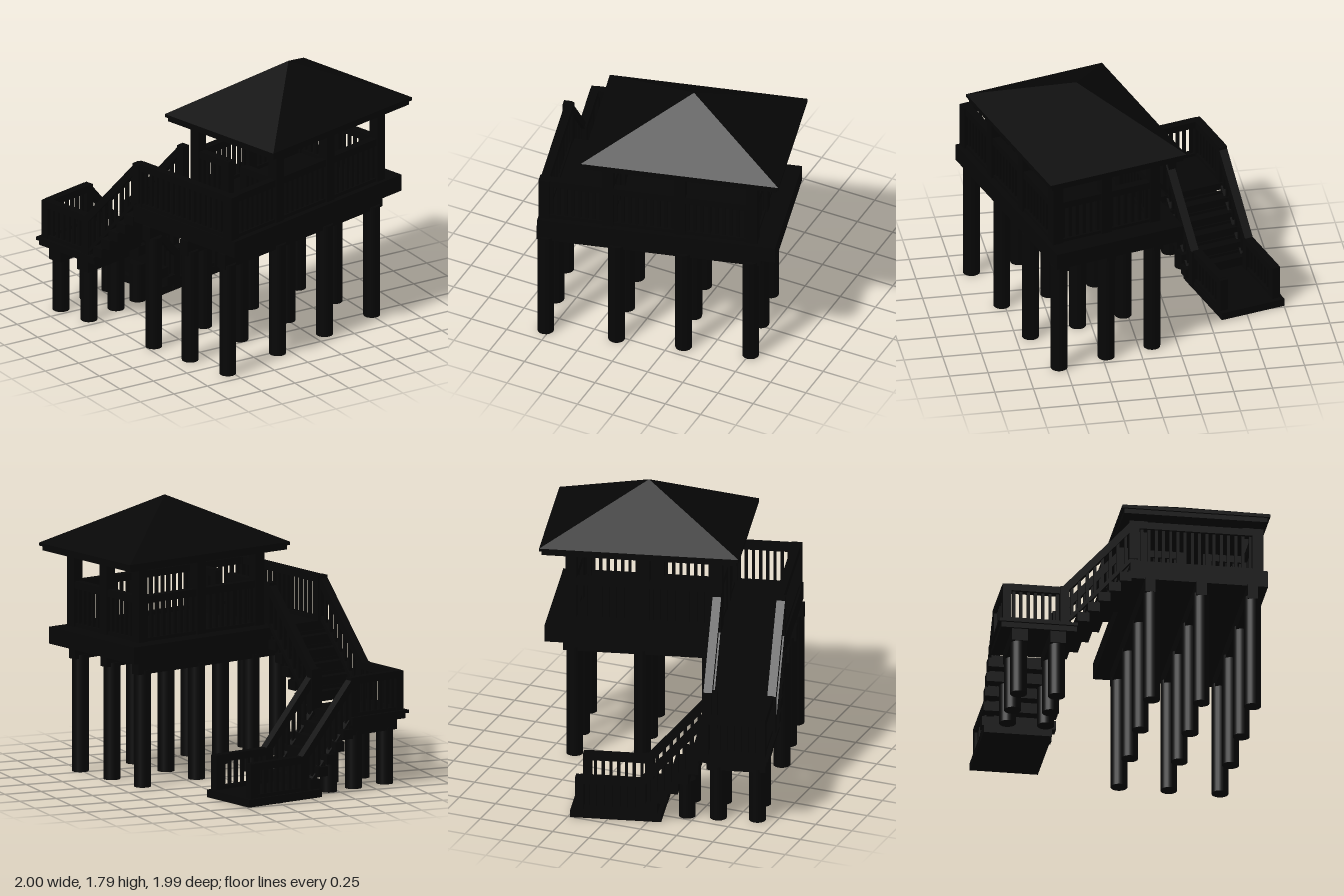
import * as THREE from 'three';

export function createModel() {
  const model = new THREE.Group();
  const tower = new THREE.Group();
  tower.name = 'tower';
  tower.rotation.y = THREE.MathUtils.degToRad(15);
  model.add(tower);
  const mat = new THREE.MeshStandardMaterial({ color: 0x060606 });

  function group(name) {
    const g = new THREE.Group();
    g.name = name;
    tower.add(g);
    return g;
  }
  // box given by its minimum and maximum on each axis
  function box(parent, name, x0, x1, y0, y1, z0, z1) {
    const m = new THREE.Mesh(new THREE.BoxGeometry(x1 - x0, y1 - y0, z1 - z0), mat);
    m.position.set((x0 + x1) / 2, (y0 + y1) / 2, (z0 + z1) / 2);
    m.name = name;
    parent.add(m);
  }
  function post(parent, name, x, z, y0, y1, s) {
    box(parent, name, x - s / 2, x + s / 2, y0, y1, z - s / 2, z + s / 2);
  }
  // straight or sloping timber between two points
  function beam(parent, name, a, b, w, h) {
    const m = new THREE.Mesh(new THREE.BoxGeometry(w, h, a.distanceTo(b)), mat);
    m.position.copy(a).add(b).multiplyScalar(0.5);
    m.lookAt(b);
    m.name = name;
    parent.add(m);
  }
  // railing between two top points, with upright balusters
  function railing(name, ax, ay, az, bx, by, bz, height) {
    const g = group(name);
    const a = new THREE.Vector3(ax, ay, az), b = new THREE.Vector3(bx, by, bz);
    const drop = (p, d) => p.clone().setY(p.y - d);
    beam(g, 'topRail', drop(a, 0.023), drop(b, 0.023), 0.055, 0.046);
    beam(g, 'bottomRail', drop(a, height - 0.01), drop(b, height - 0.01), 0.045, 0.022);
    const n = Math.round(Math.hypot(bx - ax, bz - az) / 0.047);
    for (let i = 1; i < n; i++) {
      const p = a.clone().lerp(b, i / n);
      post(g, 'baluster', p.x, p.z, p.y - height, p.y - 0.03, 0.019);
    }
    for (const p of [a, b]) post(g, 'railPost', p.x, p.z, p.y - height, p.y - 0.002, 0.055);
  }

  // round piles on a grid
  function piles(name, xs, zs, top) {
    const g = group(name);
    const geo = new THREE.CylinderGeometry(0.054, 0.054, top, 20);
    for (const x of xs) for (const z of zs) {
      const m = new THREE.Mesh(geo, mat);
      m.position.set(x, top / 2, z);
      m.name = 'pile';
      g.add(m);
    }
  }
  piles('deckPiles', [-0.74, -0.28, 0.155, 0.59], [0.07, 0.39, 0.72], 0.76);
  piles('landingPiles', [-0.7, -0.45], [-0.78, -0.535], 0.37);
  piles('stairPiles', [-0.25], [-0.78, -0.535], 0.26);

  // main deck on cross beams
  const deck = group('deck');
  box(deck, 'floor', -0.777, 0.766, 0.83, 0.94, -0.07, 0.815);
  for (const z of [0.055, 0.385, 0.715]) box(deck, 'crossBeam', -0.795, 0.66, 0.735, 0.835, z - 0.033, z + 0.033);

  // cabin posts; the porch side has no middle post
  const U0 = -0.326, UM = 0.142, U1 = 0.61, V0 = 0.07, VM = 0.41, V1 = 0.751;
  const cabin = group('cabinPosts');
  for (const [x, z] of [[U0, V0], [UM, V0], [U1, V0], [U1, VM], [U0, V1], [UM, V1], [U1, V1]])
    post(cabin, 'roofPost', x, z, 0.94, 1.45, 0.07);

  // cabin and porch railings
  const T = 1.233, H = 0.293, P = -0.74;
  railing('frontRailing', U0, T, V1, UM, T, V1, H);
  railing('frontRailing', UM, T, V1, U1, T, V1, H);
  railing('backRailing', U0, T, V0, UM, T, V0, H);
  railing('backRailing', UM, T, V0, U1, T, V0, H);
  railing('sideRailing', U1, T, V0, U1, T, VM, H);
  railing('sideRailing', U1, T, VM, U1, T, V1, H);
  railing('doorSideRailing', U0, T, V0, U0, T, 0.33, H);
  railing('doorSideRailing', U0, T, 0.49, U0, T, V1, H);
  railing('porchFrontRailing', P, T, V1, U0, T, V1, H);
  railing('porchSideRailing', P, T, -0.04, P, T, V1, H);
  post(group('porchCorner'), 'porchCornerPost', P, V1, 0.94, T, 0.07);

  // pyramid roof over an eave board
  const roof = group('roof');
  box(roof, 'eaveBoard', -0.468, 0.785, 1.43, 1.462, -0.061, 0.861);
  box(roof, 'roofEdge', -0.483, 0.8, 1.46, 1.48, -0.076, 0.876);
  const cone = new THREE.ConeGeometry(Math.SQRT1_2, 0.31, 4, 1).toNonIndexed();
  cone.rotateY(Math.PI / 4);
  cone.scale(1.283, 1, 0.952);
  cone.computeVertexNormals();
  const pyramid = new THREE.Mesh(cone, mat);
  pyramid.position.set(0.1585, 1.635, 0.4);
  pyramid.name = 'roofPyramid';
  roof.add(pyramid);

  // middle landing: thin top boards over an inset frame and two beams
  const landing = group('landing');
  box(landing, 'landingBoards', -0.79, -0.337, 0.465, 0.485, -0.916, -0.41);
  box(landing, 'landingFrame', -0.775, -0.35, 0.43, 0.467, -0.901, -0.415);
  for (const z of [-0.78, -0.535]) box(landing, 'landingBeam', -0.76, -0.38, 0.35, 0.435, z - 0.05, z + 0.05);
  const L = 0.74, backV = -0.864, leftU = -0.738;
  railing('landingSideRailing', leftU, L, backV, leftU, L, -0.49, 0.255);
  railing('landingBackRailing', leftU, L, backV, -0.375, L, backV, 0.255);

  // upper flight: thick overlapping steps from the porch down to the landing
  const upper = group('upperStairs');
  for (let i = 0; i < 5; i++) {
    const y = 0.94 - (i + 1) * 0.0758, z = -0.07 - i * 0.068;
    box(upper, 'step', -0.79, -0.315, y - 0.062, y, z - 0.072, z + 0.004);
    box(upper, 'riser', -0.77, -0.335, y - 0.01, y + 0.02, z - 0.012, z);
  }
  for (const x of [-0.753, -0.343])
    railing('upperStairRailing', x, T, -0.05, x, L, -0.495, 0.265);

  // lower flight, turning towards the foot platform
  const lower = group('lowerStairs');
  for (let i = 0; i < 5; i++) {
    const y = 0.485 - (i + 1) * 0.0725, x = -0.337 + i * 0.0666;
    box(lower, 'step', x - 0.004, x + 0.071, y - 0.062, y, -0.918, -0.44);
    box(lower, 'riser', x, x + 0.012, y - 0.01, y + 0.02, -0.898, -0.46);
  }
  for (const z of [backV, -0.485])
    railing('lowerStairRailing', -0.375, L, z, 0.03, 0.275, z, 0.26);

  // foot platform with railings on both long sides
  const foot = group('footPlatform');
  box(foot, 'footFloor', -0.1, 0.485, 0, 0.05, -0.909, -0.47);
  for (const z of [backV, -0.5]) railing('footRailing', 0.03, 0.275, z, 0.428, 0.275, z, 0.225);

  return model;
}
